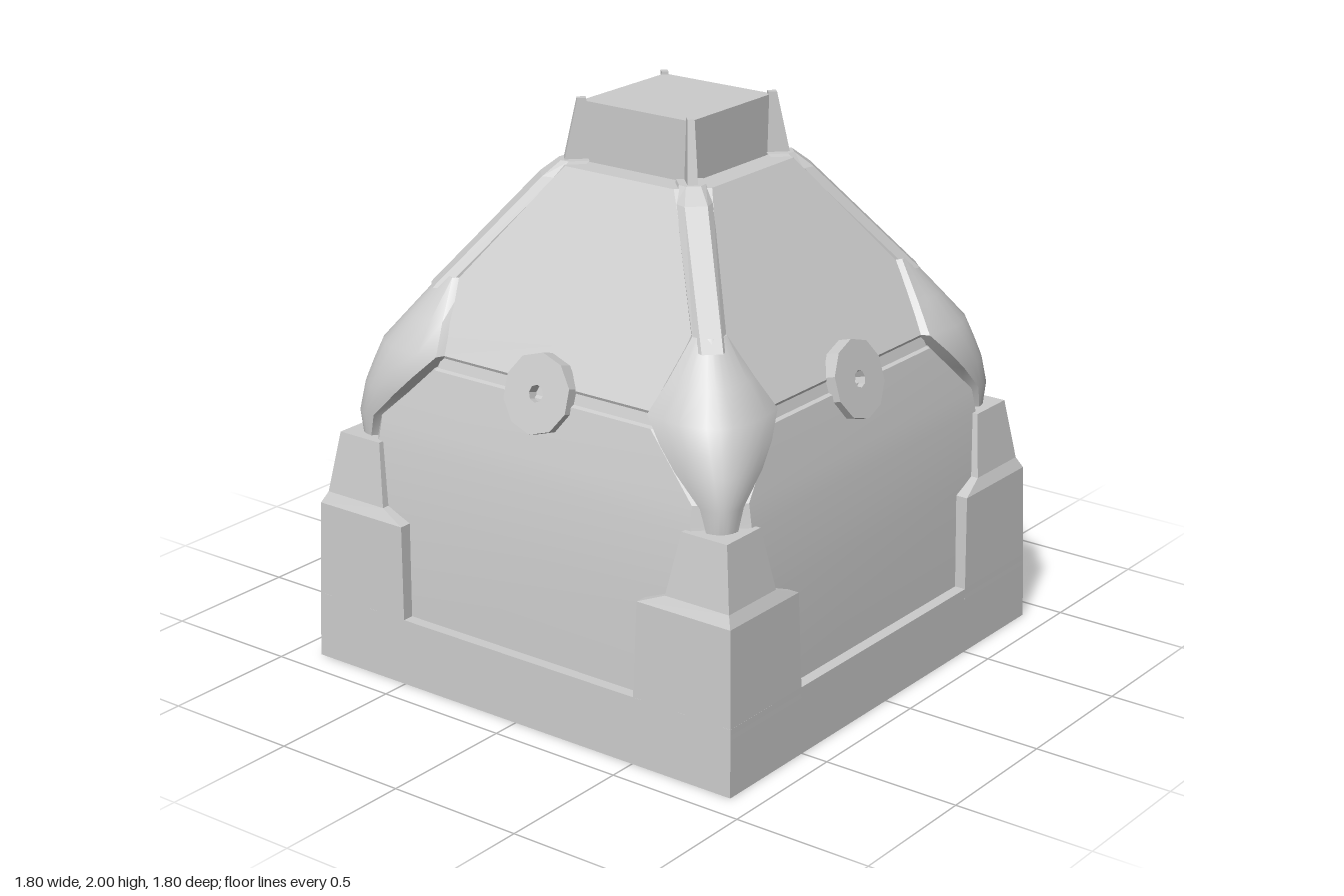
import * as THREE from 'three';
import { toCreasedNormals } from 'three/addons/utils/BufferGeometryUtils.js';

const material = new THREE.MeshStandardMaterial({ color: 0xcccccc });

function mesh(name, geometry) {
  const m = new THREE.Mesh(geometry, material);
  m.name = name;
  return m;
}

// Skin of closed rings of [x, y, z], capped at both ends; edges above the crease angle stay sharp
function loft(rings, crease = 0.05) {
  const n = rings[0].length;
  const index = [];
  for (let i = 0; i < rings.length - 1; i++) {
    for (let j = 0; j < n; j++) {
      const a = i * n + j, b = i * n + (j + 1) % n;
      index.push(a, b, b + n, a, b + n, a + n);
    }
  }
  const last = (rings.length - 1) * n;
  for (let j = 1; j < n - 1; j++) {
    index.push(0, j + 1, j, last, last + j, last + j + 1);
  }
  const g = new THREE.BufferGeometry();
  g.setAttribute('position', new THREE.Float32BufferAttribute(rings.flat(2), 3));
  g.setIndex(index);
  return toCreasedNormals(g.toNonIndexed(), crease);
}

// Square ring from a to b on both axes
const square = (y, a, b) => [[a, y, b], [b, y, b], [b, y, a], [a, y, a]];

// Square ring with cut corners: faces at distance d, each of half-width w
const octagon = (y, d, w) => [
  [-w, y, d], [w, y, d], [d, y, w], [d, y, -w],
  [w, y, -d], [-w, y, -d], [-d, y, -w], [-d, y, w],
];

// Plinth with a shallow recess underneath
function baseGeometry() {
  return loft([[0.05, 0.84], [0, 0.84], [0, 0.9], [0.24, 0.895], [0.24, 0.83]]
    .map(([y, s]) => square(y, -s, s)));
}

// Main shell with a seam groove round the middle
function bodyGeometry() {
  return loft([
    [0.2, 0.855, 0.74], [0.6, 0.84, 0.72], [0.84, 0.81, 0.67], [0.92, 0.795, 0.665],
    [1.12, 0.745, 0.46], [1.125, 0.73, 0.46], [1.16, 0.718, 0.455], [1.17, 0.722, 0.45],
    [1.4, 0.572, 0.51], [1.78, 0.32, 0.23],
  ].map(row => octagon(...row)), 0.12);
}

// Stepped corner block
function postGeometry() {
  return loft([[0.2, 0.5, 0.896], [0.58, 0.51, 0.885], [0.62, 0.61, 0.865], [0.84, 0.65, 0.83]]
    .map(row => square(...row)));
}

// Rounded diamond guard; rows hold y, edge x, edge z and ridge position. Local +z is the diagonal.
function guardGeometry() {
  const rows = [
    [0.8, 0.73, 0.79, 0.77], [0.92, 0.7, 0.8, 0.78], [1.02, 0.6, 0.8, 0.765],
    [1.09, 0.53, 0.785, 0.745], [1.17, 0.45, 0.75, 0.72], [1.27, 0.48, 0.68, 0.655],
    [1.4, 0.51, 0.59, 0.57],
  ];
  const steps = 10;
  return loft(rows.map(([y, ex, ez, c]) => {
    const half = (ez - ex) / Math.SQRT2;
    const edge = (ez + ex) / Math.SQRT2;
    const ring = [];
    for (let i = 0; i <= steps; i++) {
      const s = 2 * i / steps - 1;
      ring.push([s * half, y, edge + (c * Math.SQRT2 - edge) * (1 - s * s)]);
    }
    ring.push([half * 0.9, y, edge - 0.06], [-half * 0.9, y, edge - 0.06]);
    return ring;
  }), 0.65);
}

// Bevelled rib on the cut corner; rows hold y, foot radius, crest radius, foot and crest half-widths
function ribGeometry() {
  return loft([
    [1.36, 0.805, 0.845, 0.055, 0.035],
    [1.74, 0.425, 0.465, 0.062, 0.038],
    [1.79, 0.375, 0.4, 0.045, 0.025],
  ].map(([y, r0, r1, w0, w1]) => [
    [-w0, y, r0], [-w1, y, r1], [w1, y, r1], [w0, y, r0], [w0, y, r0 - 0.07], [-w0, y, r0 - 0.07],
  ]));
}

// Thin upright fin at a corner of the cap
function finGeometry() {
  return loft([[1.77, 0.3, 0.39, 0.018], [2.0, 0.31, 0.34, 0.012]]
    .map(([y, r0, r1, w]) => [[-w, y, r1], [w, y, r1], [w, y, r0], [-w, y, r0]]));
}

// Ten-sided disc with a small hole
function discGeometry() {
  const polygon = (path, r, n) => {
    const points = [];
    for (let i = 0; i < n; i++) {
      const a = Math.PI / 2 + i * 2 * Math.PI / n;
      points.push(new THREE.Vector2(r * Math.cos(a), r * Math.sin(a)));
    }
    return path.setFromPoints(points);
  };
  const shape = polygon(new THREE.Shape(), 0.138, 10);
  shape.holes.push(polygon(new THREE.Path(), 0.03, 8));
  return new THREE.ExtrudeGeometry(shape, { depth: 0.05, bevelEnabled: false });
}

export function createModel() {
  const model = new THREE.Group();
  model.name = 'domedTower';
  model.add(mesh('base', baseGeometry()), mesh('body', bodyGeometry()));

  const cap = mesh('cap', new THREE.BoxGeometry(0.46, 0.22, 0.46));
  cap.position.y = 1.88;
  model.add(cap);

  const post = postGeometry(), guard = guardGeometry(), rib = ribGeometry();
  const fin = finGeometry(), disc = discGeometry();

  for (let k = 0; k < 4; k++) {
    const turn = k * Math.PI / 2;

    // Face disc, leaning back with the shell
    const side = new THREE.Group();
    side.name = 'side' + (k + 1);
    side.rotation.y = turn;
    const plate = mesh('faceDisc', disc);
    plate.position.set(0, 1.13, 0.717);
    plate.rotation.x = -0.29;
    side.add(plate, mesh('cornerPost', post));

    // Parts lying on the diagonal
    const corner = new THREE.Group();
    corner.name = 'corner' + (k + 1);
    corner.rotation.y = turn + Math.PI / 4;
    corner.add(mesh('cornerGuard', guard), mesh('cornerRib', rib), mesh('capFin', fin));

    model.add(side, corner);
  }
  return model;
}
